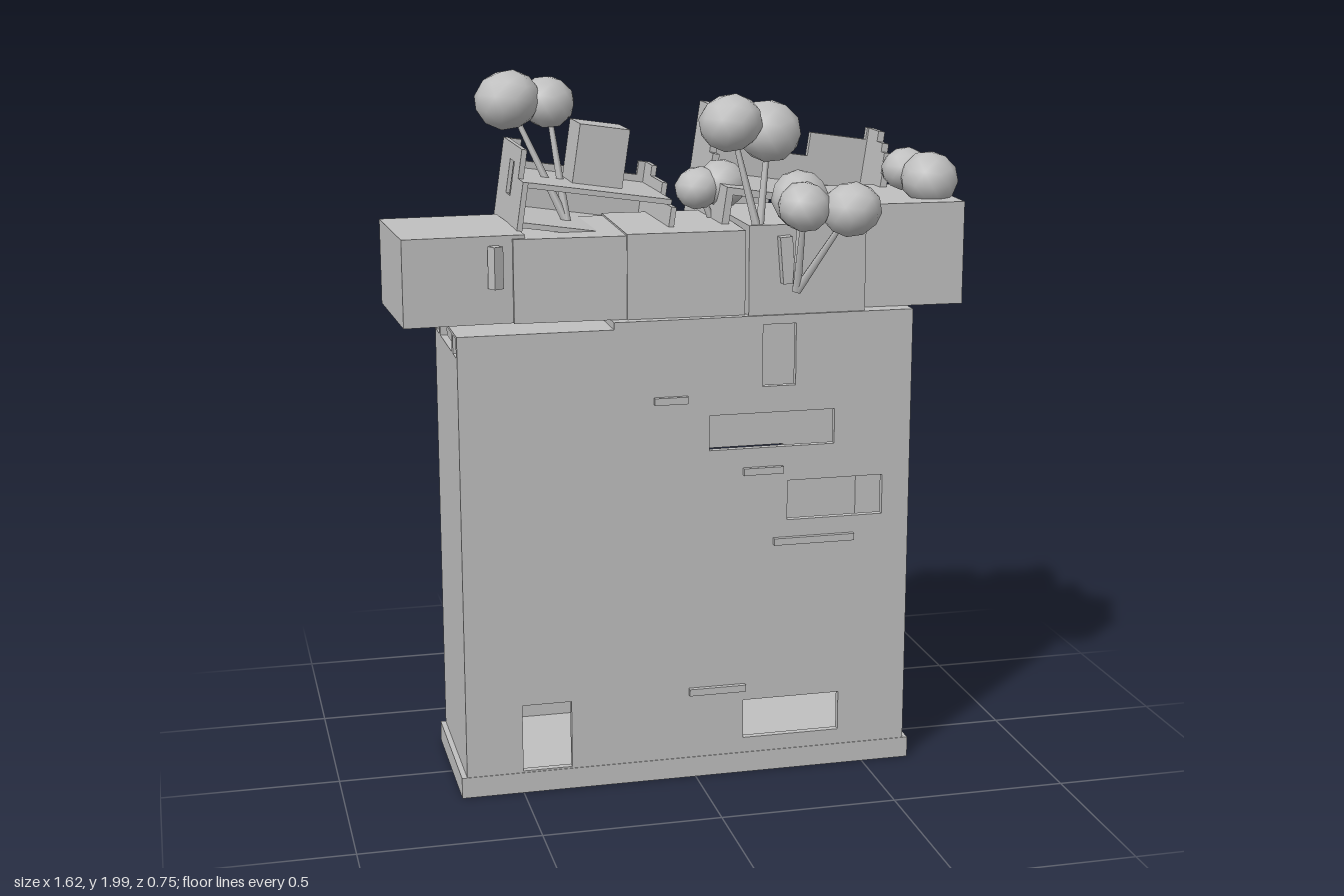
import * as THREE from 'three';

const stone = new THREE.MeshStandardMaterial({ color: 0xbfbfbf });
stone.name = 'grey stone';

export function createModel() {
  const root = new THREE.Group();

  const add = (parent, name, geometry) => {
    const m = new THREE.Mesh(geometry, stone);
    m.name = name;
    parent.add(m);
    return m;
  };
  // box from min and max corners
  const box = (parent, name, x0, x1, y0, y1, z0, z1) => {
    const m = add(parent, name, new THREE.BoxGeometry(x1 - x0, y1 - y0, z1 - z0));
    m.position.set((x0 + x1) / 2, (y0 + y1) / 2, (z0 + z1) / 2);
    return m;
  };
  const poly = pts => pts.map(p => new THREE.Vector2(p[0], p[1]));
  const rect = (x0, x1, y0, y1) => [[x0, y0], [x1, y0], [x1, y1], [x0, y1]];
  // flat wall with openings, extruded along +z
  const wallGeometry = (outline, holes, depth) => {
    const s = new THREE.Shape(poly(outline));
    holes.forEach(h => s.holes.push(new THREE.Path(poly(h))));
    return new THREE.ExtrudeGeometry(s, { depth, bevelEnabled: false });
  };
  const frontWall = (parent, name, outline, holes, depth, z) => {
    add(parent, name, wallGeometry(outline, holes, depth)).position.z = z;
  };
  // wall running along z; outline is given as (z, y)
  const sideWall = (parent, name, outline, holes, depth, x) => {
    const g = wallGeometry(outline, holes, depth).rotateY(-Math.PI / 2);
    add(parent, name, g).position.x = x + depth;
  };

  // hollow tower
  const tower = new THREE.Group();
  tower.name = 'tower';
  root.add(tower);
  const face = [[-0.66, 0], [0.625, 0], [0.625, 1.34], [-0.23, 1.34], [-0.23, 1.32], [-0.66, 1.32]];
  frontWall(tower, 'frontWall', face, [
    rect(-0.5, -0.36, 0.065, 0.26), rect(0.14, 0.425, 0.105, 0.22), rect(0.265, 0.545, 0.75, 0.865),
    rect(0.038, 0.4, 0.965, 1.065), rect(0.19, 0.285, 1.14, 1.315),
  ], 0.02, 0.182);
  frontWall(tower, 'backWall', face, [
    rect(-0.1, 0.165, 0.965, 1.06), rect(-0.025, 0.375, 0.75, 0.86), rect(-0.48, -0.185, 0.55, 0.645),
    [[-0.635, 0.32], [-0.275, 0.32], [-0.275, 0.47], [-0.46, 0.47], [-0.46, 0.43], [-0.635, 0.43]],
  ], 0.02, -0.24);
  box(tower, 'leftSide', 0.605, 0.625, 0, 1.26, -0.22, 0.182);
  box(tower, 'rightSide', -0.66, -0.64, 0, 1.26, -0.22, 0.182);
  box(tower, 'plinth', -0.675, 0.64, 0, 0.06, -0.242, 0.204);
  box(tower, 'lowRoof', -0.66, -0.23, 1.312, 1.32, -0.22, 0.182);
  box(tower, 'highRoof', -0.23, 0.625, 1.32, 1.34, -0.22, 0.182);
  for (const z of [-0.145, 0.11]) {
    for (const x of [-0.65, 0.615]) box(tower, 'roofPost', x - 0.01, x + 0.01, 1.26, 1.315, z - 0.013, z + 0.013);
  }
  // narrow ledges: [front x range, back x range, y]
  [
    [-0.12, -0.025, 0.41, 0.55, 1.115], [0.135, 0.25, 0.15, 0.295, 0.9],
    [0.225, 0.46, -0.28, -0.06, 0.69], [-0.02, 0.145, -0.12, 0.015, 0.26],
  ].forEach(([a, b, c, d, y]) => {
    box(tower, 'frontLedge', a, b, y - 0.01, y + 0.01, 0.2, 0.216);
    box(tower, 'backLedge', c, d, y - 0.01, y + 0.01, -0.252, -0.238);
  });

  // row of rooftop blocks, slightly fanned
  const block = (name, x0, x1, y1, z0, z1, yaw) => {
    box(root, name, x0, x1, 1.34, y1, z0, z1).rotation.y = yaw;
  };
  block('rightEndBlock', -0.803, -0.468, 1.58, -0.24, 0.148, 0.04);
  block('rightInnerBlock', -0.49, -0.18, 1.57, -0.22, 0.16, -0.03);
  block('centreBlock', -0.18, 0.15, 1.575, -0.225, 0.175, -0.03);
  block('leftInnerBlock', 0.15, 0.485, 1.59, -0.22, 0.195, 0);
  block('leftEndBlock', 0.46, 0.793, 1.63, -0.24, 0.152, -0.035);
  box(root, 'wallPost', -0.56, -0.53, 1.44, 1.555, 0.15, 0.18).rotation.y = 0.5;

  // leaning open houses, built from the lower back corner
  const house = (name, x, y, z) => {
    const g = new THREE.Group();
    g.name = name;
    g.position.set(x, y, z);
    g.rotation.z = -0.148;
    root.add(g);
    return g;
  };
  const small = house('smallHouse', -0.495, 1.415, -0.32);
  frontWall(small, 'houseBackWall',
    [[0, 0], [0.435, 0], [0.435, 0.36], [0.4, 0.36], [0.4, 0.32], [0.05, 0.32], [0.05, 0.38], [0, 0.38]],
    [rect(0.195, 0.265, 0.255, 0.3), rect(0.2, 0.28, 0.06, 0.16)], 0.015, 0);
  sideWall(small, 'houseSideWall',
    [[0, 0], [0.39, 0], [0.39, 0.3], [0.31, 0.3], [0.31, 0.38], [0, 0.38]],
    [rect(0.15, 0.22, 0.24, 0.335)], 0.015, 0);
  box(small, 'windowBar', 0.004, 0.011, 0.24, 0.335, 0.181, 0.189);
  sideWall(small, 'houseSideWall',
    [[0, 0], [0.39, 0], [0.39, 0.28], [0.25, 0.28], [0.25, 0.33], [0.1, 0.33], [0.1, 0.36], [0, 0.36]],
    [], 0.015, 0.42);
  box(small, 'upperDeck', 0.015, 0.42, 0.285, 0.3, 0.015, 0.385);
  box(small, 'lowerDeck', 0.015, 0.42, 0.175, 0.19, 0.015, 0.385);
  box(small, 'rooftopHut', 0.162, 0.305, 0.3, 0.465, 0.11, 0.26);

  const large = house('largeHouse', 0.095, 1.48, -0.375);
  frontWall(large, 'houseBackWall', [
    [0, 0], [0.545, 0], [0.545, 0.385], [0.52, 0.385], [0.52, 0.35], [0.347, 0.35], [0.347, 0.28],
    [0.28, 0.28], [0.28, 0.32], [0.245, 0.32], [0.245, 0.386], [0.06, 0.386], [0.06, 0.4], [0, 0.4],
  ], [rect(0.25, 0.33, 0.07, 0.165)], 0.02, 0);
  const steps = top => [
    [0, 0], [0.43, 0], [0.43, 0.2], [0.23, 0.2], [0.23, 0.27], [0.19, 0.27],
    [0.19, 0.33], [0.16, 0.33], [0.16, top - 0.03], [0.11, top - 0.03], [0.11, top], [0, top],
  ];
  sideWall(large, 'houseSideWall', steps(0.4), [], 0.02, 0);
  sideWall(large, 'houseSideWall', steps(0.385).map(([w, v]) => [Math.min(w, 0.2), v]), [], 0.02, 0.525);
  box(large, 'deck', 0.02, 0.525, 0.18, 0.2, 0.02, 0.43);

  // trees: one trunk foot, several branches each ending in a leaf ball [x, y, z, radius]
  const up = new THREE.Vector3(0, 1, 0);
  const tree = (foot, balls) => {
    const g = new THREE.Group();
    g.name = 'tree';
    root.add(g);
    const a = new THREE.Vector3(...foot);
    balls.forEach(([x, y, z, r], i) => {
      const d = new THREE.Vector3(x, y, z).sub(a);
      const branch = add(g, 'branch', new THREE.CylinderGeometry(0.007, 0.013, d.length(), 5));
      branch.position.copy(a).addScaledVector(d, 0.5);
      branch.quaternion.setFromUnitVectors(up, d.clone().normalize());
      const leaf = add(g, 'leafBall', new THREE.IcosahedronGeometry(r, 1));
      leaf.position.set(x, y, z);
      leaf.scale.set(1.05, 0.92, 1.05);
      leaf.rotation.set(0.4 * i, 0.7 + i, 0.3);
    });
  };
  tree([-0.3, 1.57, -0.1], [[-0.45, 1.91, -0.175, 0.09], [-0.335, 1.9, -0.19, 0.075]]);
  tree([0.18, 1.56, 0.18], [[0.11, 1.865, 0.14, 0.085], [0.23, 1.835, 0.095, 0.088]]);
  tree([0.13, 1.53, -0.08], [[0.075, 1.66, -0.08, 0.065], [0.145, 1.67, -0.085, 0.07]]);
  tree([0.275, 1.41, 0.23], [[0.41, 1.64, 0.29, 0.08], [0.28, 1.65, 0.28, 0.07], [0.29, 1.66, 0.21, 0.08]]);
  tree([0.69, 1.6, -0.01], [[0.68, 1.7, -0.05, 0.066], [0.725, 1.68, 0.03, 0.08]]);
  box(root, 'planter', 0.235, 0.27, 1.43, 1.56, 0.19, 0.225).rotation.z = 0.08;

  return root;
}
